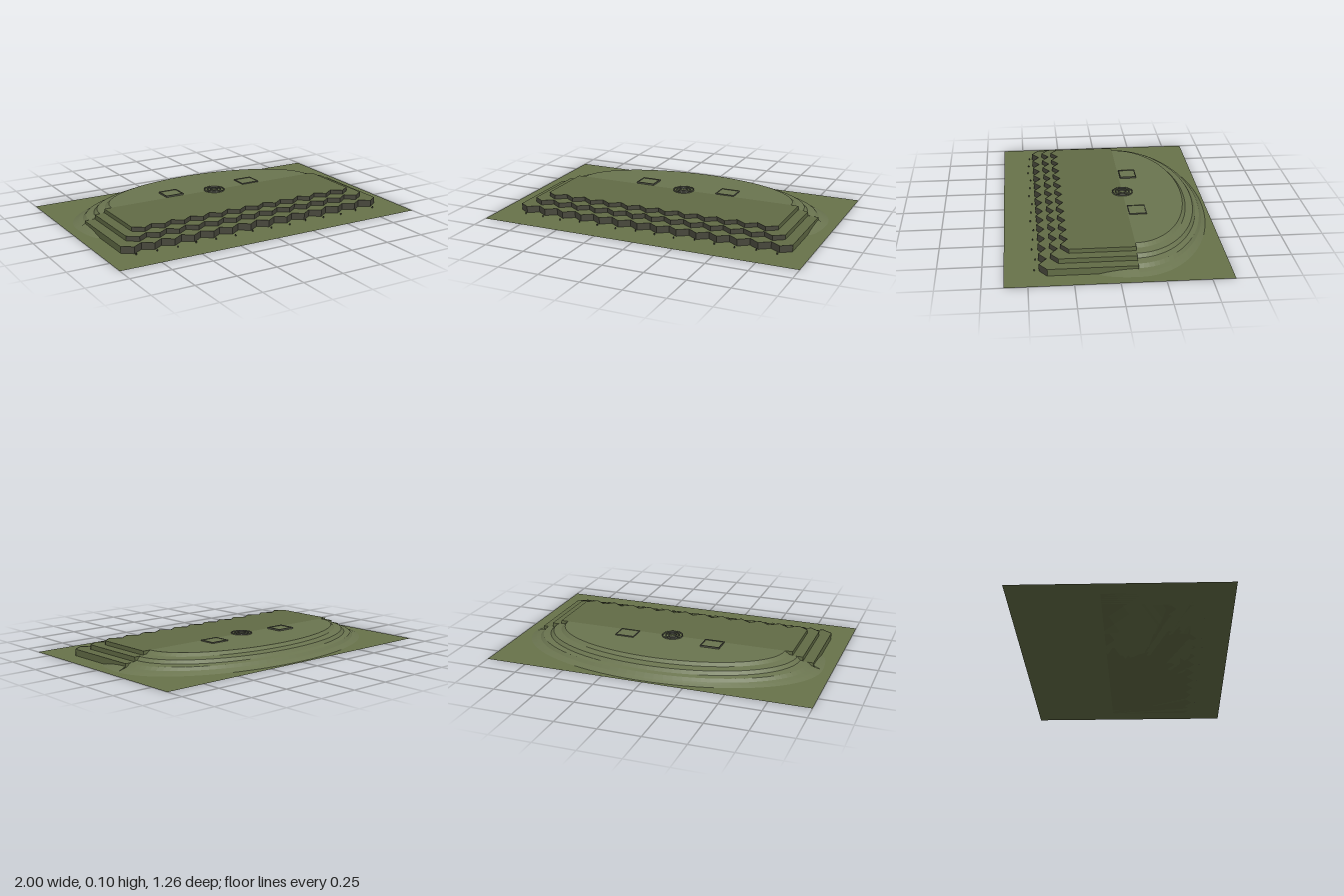
import * as THREE from 'three';

const mat = (color, extra = {}) => new THREE.MeshStandardMaterial({ color, side: THREE.DoubleSide, ...extra });
const BACK = -0.11; // line where the terraces meet the mound
const TOP = 0.093;

export function createModel() {
  const root = new THREE.Group();
  const grass = mat(0x68734a), lawn = mat(0x626c46), slope = mat(0x6b7550);
  const stone = mat(0x48483c), dark = mat(0x55584a);

  const add = (name, geometry, material, x = 0, y = 0, z = 0, parent = root) => {
    const mesh = new THREE.Mesh(geometry, material);
    mesh.name = name;
    mesh.position.set(x, y, z);
    parent.add(mesh);
    return mesh;
  };

  // Open surface through rows of points of equal length
  const loft = (rows) => {
    const n = rows[0].length, index = [];
    for (let r = 0; r < rows.length - 1; r++)
      for (let i = 0; i < n - 1; i++) {
        const a = r * n + i, b = a + n;
        index.push(a, b, a + 1, a + 1, b, b + 1);
      }
    const g = new THREE.BufferGeometry();
    g.setAttribute('position', new THREE.Float32BufferAttribute(rows.flat(2), 3));
    g.setIndex(index);
    const flat = g.toNonIndexed();
    flat.computeVertexNormals();
    return flat;
  };

  // Ground sheet
  add('ground', new THREE.PlaneGeometry(2, 1.26).rotateX(-Math.PI / 2), grass);

  // Three terraces with a folded stone wall along the front
  const tiers = [
    { half: 0.885, inner: 0.392, height: 0.04, teeth: 28 },
    { half: 0.82, inner: 0.327, height: 0.068, teeth: 26 },
    { half: 0.757, inner: 0.267, height: TOP, teeth: 24 },
  ];
  tiers.forEach(({ half, inner, height, teeth }, t) => {
    const front = [];
    for (let i = 0; i <= teeth; i++)
      front.push([-half + (2 * half * i) / teeth, inner + (i % 2 ? 0.043 : 0)]);
    const outline = [[half, BACK], [-half, BACK], ...front].map(([x, z]) => new THREE.Vector2(x, -z));
    const body = new THREE.ExtrudeGeometry(new THREE.Shape(outline), { depth: height, bevelEnabled: false });
    add('terrace' + (t + 1), body.rotateX(-Math.PI / 2), lawn);

    // Stone facing, just proud of the terrace
    const base = t ? tiers[t - 1].height : 0;
    const wall = [height + 0.001, base].map((y) => front.map(([x, z]) => [x, y, z + 0.002]));
    add('stoneWall' + (t + 1), loft(wall), stone);
  });

  // Rounded mound behind: half ellipses [x radius, z radius, height], stepping down
  const profile = [
    [0.001, 0.001, TOP], [0.71, 0.362, TOP], [0.735, 0.38, 0.074],
    [0.785, 0.425, 0.066], [0.805, 0.44, 0.046], [0.855, 0.463, 0.038],
    [0.875, 0.477, 0.02], [0.905, 0.485, 0.012], [0.94, 0.5, 0],
  ];
  const rings = profile.map(([a, b, y]) => {
    const ring = [];
    for (let i = 0; i <= 48; i++) {
      const u = (Math.PI * i) / 48;
      ring.push([a * Math.cos(u), y, BACK - b * Math.sin(u)]);
    }
    return ring;
  });
  add('mound', loft(rings), slope);

  // Upright face closing the mound towards the terraces
  const section = profile.slice(1).map(([a, , y]) => [a, y]);
  const mirrored = section.map(([x, y]) => [-x, y]).reverse();
  const face = new THREE.Shape([...section, ...mirrored].map(([x, y]) => new THREE.Vector2(x, y)));
  add('moundFace', new THREE.ShapeGeometry(face), slope, 0, 0, BACK - 0.001);

  // Low banks running forward beside the terraces
  for (const side of [-1, 1]) {
    const inner = [], outer = [];
    for (let i = 0; i <= 10; i++) {
      const k = i / 10, z = BACK + 0.22 * k;
      inner.push([side * 0.884, 0.024 * (1 - k * k), z]);
      outer.push([side * (0.884 + 0.056 * Math.sqrt(1 - k * k)), 0, z]);
    }
    add(side > 0 ? 'leftBank' : 'rightBank', loft([inner, outer]), slope);
  }

  // Concentric stone rings at the middle of the lawn
  [0.065, 0.045, 0.026].forEach((r, i) => {
    const rim = new THREE.LatheGeometry([
      new THREE.Vector2(r - 0.006, 0), new THREE.Vector2(r - 0.006, 0.006),
      new THREE.Vector2(r, 0.006), new THREE.Vector2(r, 0),
    ], 40);
    add('circleRing' + (i + 1), rim, dark, 0, TOP, BACK);
  });

  // Two square frames set in the lawn
  for (const side of [-1, 1]) {
    const frame = new THREE.Group();
    frame.name = side > 0 ? 'leftFrame' : 'rightFrame';
    frame.position.set(side * 0.275, TOP, -0.17);
    root.add(frame);
    const h = side > 0 ? 0.007 : 0.01;
    for (const s of [-1, 1]) {
      add('frameLongSide', new THREE.BoxGeometry(0.12, h, 0.005), dark, 0, h / 2, s * 0.05, frame);
      add('frameShortSide', new THREE.BoxGeometry(0.005, h, 0.1), dark, s * 0.0575, h / 2, 0, frame);
    }
    add('framePanel', new THREE.BoxGeometry(0.112, h * 0.6, 0.096), slope, 0, h * 0.3, 0, frame);
  }

  // Small stones in front of the lowest wall
  for (let i = 0; i < 14; i++) {
    const x = -0.82 + i * 0.126;
    add('frontStone', new THREE.CylinderGeometry(0.003, 0.004, 0.01, 6), stone, x, 0.005, 0.455 + 0.008 * (i % 3));
  }
  return root;
}
